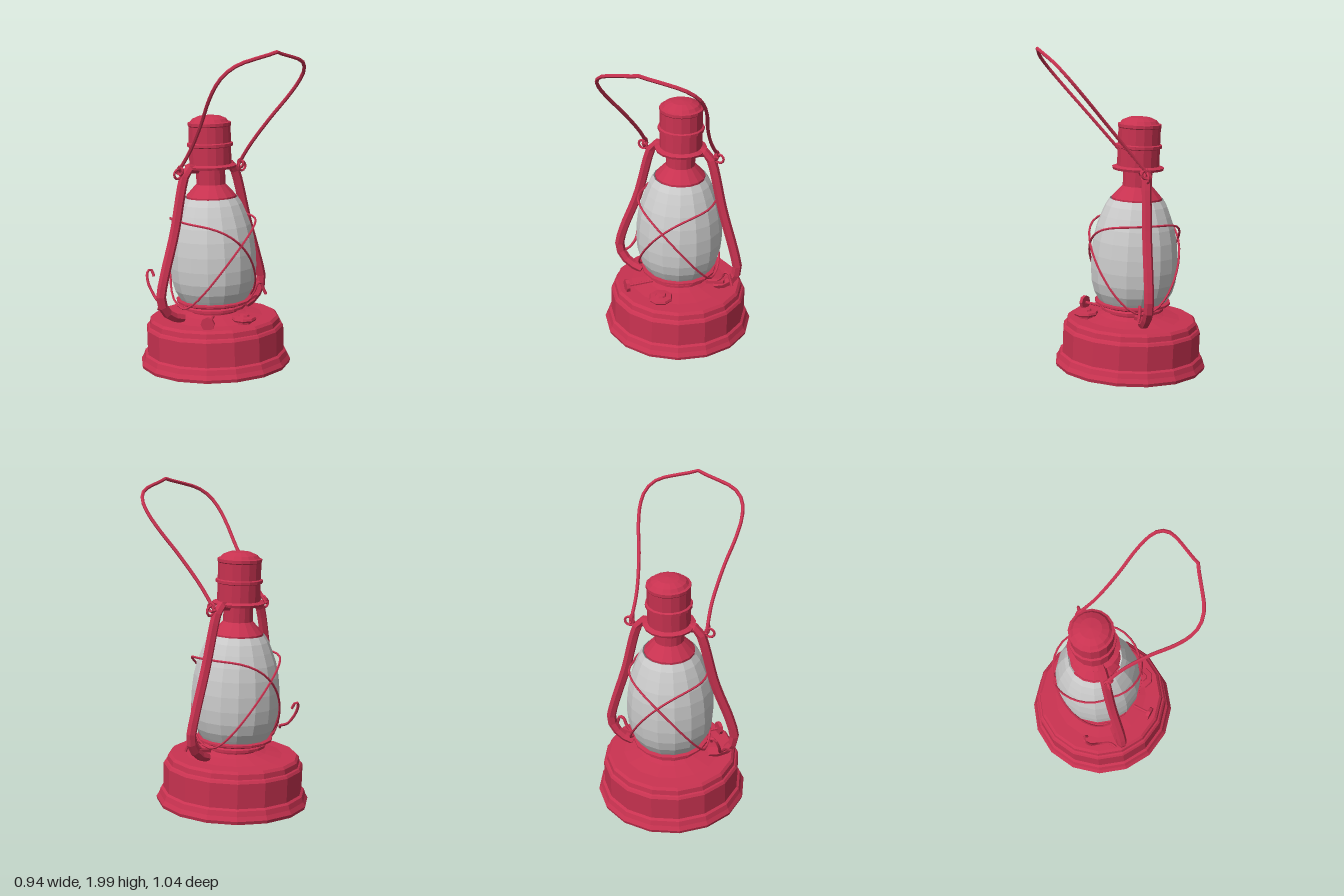
import * as THREE from 'three';

const red = new THREE.MeshStandardMaterial({ color: 0xc83250, flatShading: true });
const grey = new THREE.MeshStandardMaterial({ color: 0xcccccc, flatShading: true, side: THREE.DoubleSide });
const V = (p) => new THREE.Vector3(...p);

function add(parent, name, geometry, material = red) {
  const mesh = new THREE.Mesh(geometry, material);
  mesh.name = name;
  parent.add(mesh);
  return mesh;
}

// Turned part from [radius, height] pairs, listed bottom to top
function lathe(parent, name, profile, sides = 16, material = red) {
  return add(parent, name, new THREE.LatheGeometry(profile.map(([r, y]) => new THREE.Vector2(r, y)), sides), material);
}

// Bent rod through points, with closed ends
function rod(parent, name, points, radius, steps, sides = 6, closed = false) {
  const curve = new THREE.CatmullRomCurve3(points.map(V), closed, 'centripetal');
  const mesh = add(parent, name, new THREE.TubeGeometry(curve, steps, radius, sides, closed));
  if (!closed) {
    for (const t of [0, 1]) {
      const cap = add(mesh, name + 'End', new THREE.CircleGeometry(radius, sides));
      const out = curve.getTangentAt(t).multiplyScalar(t ? 1 : -1);
      cap.position.copy(curve.getPointAt(t));
      cap.quaternion.setFromUnitVectors(new THREE.Vector3(0, 0, 1), out);
    }
  }
  return mesh;
}

export function createModel() {
  const model = new THREE.Group();
  model.name = 'lantern';

  // Turned body, leaning slightly back
  const body = new THREE.Group();
  body.name = 'body';
  body.position.set(0, 0.022, -0.047);
  body.rotation.x = -0.04;
  model.add(body);

  lathe(body, 'fuelTank', [
    [0, 0], [0.465, 0], [0.47, 0.02], [0.455, 0.045], [0.445, 0.075], [0.43, 0.085],
    [0.43, 0.235], [0.42, 0.25], [0.41, 0.255], [0.405, 0.285], [0.39, 0.3],
    [0.3, 0.303], [0.2, 0.32], [0.13, 0.34], [0, 0.34],
  ]);
  lathe(body, 'burner', [
    [0, 0.32], [0.15, 0.325], [0.155, 0.345], [0.195, 0.355], [0.195, 0.37],
    [0.18, 0.38], [0.205, 0.385], [0.235, 0.398], [0.235, 0.41], [0.2, 0.415], [0, 0.415],
  ]);
  lathe(body, 'globe', [
    [0.205, 0.405], [0.22, 0.43], [0.245, 0.475], [0.263, 0.54], [0.27, 0.62], [0.268, 0.71],
    [0.258, 0.8], [0.24, 0.88], [0.215, 0.95], [0.19, 1.01], [0.165, 1.05],
  ], 16, grey);
  lathe(body, 'chimney', [
    [0, 1.045], [0.155, 1.045], [0.155, 1.058], [0.09, 1.13], [0.09, 1.225], [0.155, 1.23],
    [0.16, 1.245], [0.13, 1.255], [0.13, 1.36], [0.142, 1.365], [0.142, 1.382], [0.13, 1.387],
    [0.13, 1.485], [0.134, 1.49], [0.134, 1.508], [0.12, 1.512], [0.105, 1.53],
    [0.065, 1.547], [0, 1.554],
  ]);

  // Two crossed wire loops around the globe
  for (const side of [-1, 1]) {
    const loop = [];
    for (let i = 0; i < 20; i++) {
      const a = (i / 20) * Math.PI * 2, c = Math.cos(a), s = Math.sin(a);
      const r = 0.235 + 0.043 * Math.abs(s);
      loop.push([side * r * c, 0.81 + 0.27 * c - 0.14 * c * c, r * s - 0.075]);
    }
    rod(model, 'guardWire', loop, 0.007, 40, 5, true);
  }

  // Side arms, handle rings and handle eyes
  for (const side of [-1, 1]) {
    const wide = side < 0 ? 1.04 : 1;
    const z = side < 0 ? 0.006 : -0.006;
    const arm = [
      [0.1, 1.25, -0.1], [0.165, 1.255, -0.1], [0.195, 1.22, -0.1], [0.285, 0.88, -0.085],
      [0.365, 0.62, -0.07 + z], [0.393, 0.5, -0.065 + z], [0.38, 0.44, -0.063 + z],
      [0.325, 0.375, -0.062 + z], [0.25, 0.345, -0.06 + z],
    ].map(([x, y, pz]) => [side * x * (x > 0.3 ? wide : 1), y, pz]);
    rod(model, 'sideArm', arm, 0.03, 18, 6);

    const ring = add(model, 'handleRing', new THREE.TorusGeometry(0.028, 0.008, 5, 12));
    ring.position.set(side * 0.25, 1.235, -0.095);
    const eye = add(model, 'handleEye', new THREE.TorusGeometry(0.025, 0.009, 5, 12));
    eye.position.set(side * 0.235, 1.255, -0.09);
    eye.rotation.y = Math.PI / 2;
  }

  // Wire carrying handle, tipped forward
  const half = [
    [0.235, 1.235], [0.233, 1.38], [0.265, 1.56], [0.305, 1.7], [0.318, 1.8],
    [0.3, 1.87], [0.245, 1.92], [0.13, 1.955], [0.06, 1.97],
  ];
  const place = (side) => ([x, y]) => [side * x, y, (y - 1.26) * 0.84 - 0.1];
  rod(model, 'handle', [
    ...half.map(place(-1)), place(1)([0, 1.988]), ...half.map(place(1)).reverse(),
  ], 0.011, 44, 6);

  // Filler cap on the tank
  const cap = lathe(model, 'fillerCap', [
    [0, 0], [0.045, 0], [0.045, 0.025], [0.07, 0.03], [0.076, 0.04], [0.07, 0.053],
    [0.035, 0.056], [0.03, 0.066], [0, 0.068],
  ], 8);
  cap.position.set(0, 0.325, 0.23);

  // Wick knob on its shaft
  rod(model, 'wickShaft', [[-0.12, 0.365, 0.08], [-0.24, 0.365, 0.185]], 0.009, 1, 6);
  const knob = add(model, 'wickKnob', new THREE.CylinderGeometry(0.042, 0.042, 0.022, 8));
  knob.position.set(-0.247, 0.367, 0.19);
  knob.quaternion.setFromUnitVectors(new THREE.Vector3(0, 1, 0), V([-0.12, 0, 0.105]).normalize());

  // Globe lift hook and lever
  rod(model, 'liftHook', [
    [-0.4, 0.42, -0.1], [-0.37, 0.44, -0.125], [-0.355, 0.47, -0.2], [-0.362, 0.55, -0.26],
    [-0.345, 0.61, -0.288], [-0.322, 0.62, -0.285], [-0.315, 0.58, -0.262],
  ], 0.009, 18, 6);
  rod(model, 'liftLever', [
    [0.2, 0.385, -0.04], [0.27, 0.395, -0.04], [0.305, 0.43, -0.035], [0.325, 0.475, -0.03],
    [0.352, 0.478, -0.025], [0.368, 0.44, -0.02], [0.382, 0.4, -0.01],
  ], 0.01, 18, 6);
  const plate = add(model, 'leverPlate', new THREE.BoxGeometry(0.12, 0.02, 0.03));
  plate.position.set(0.26, 0.385, -0.04);
  plate.rotation.z = 0.2;

  return model;
}
